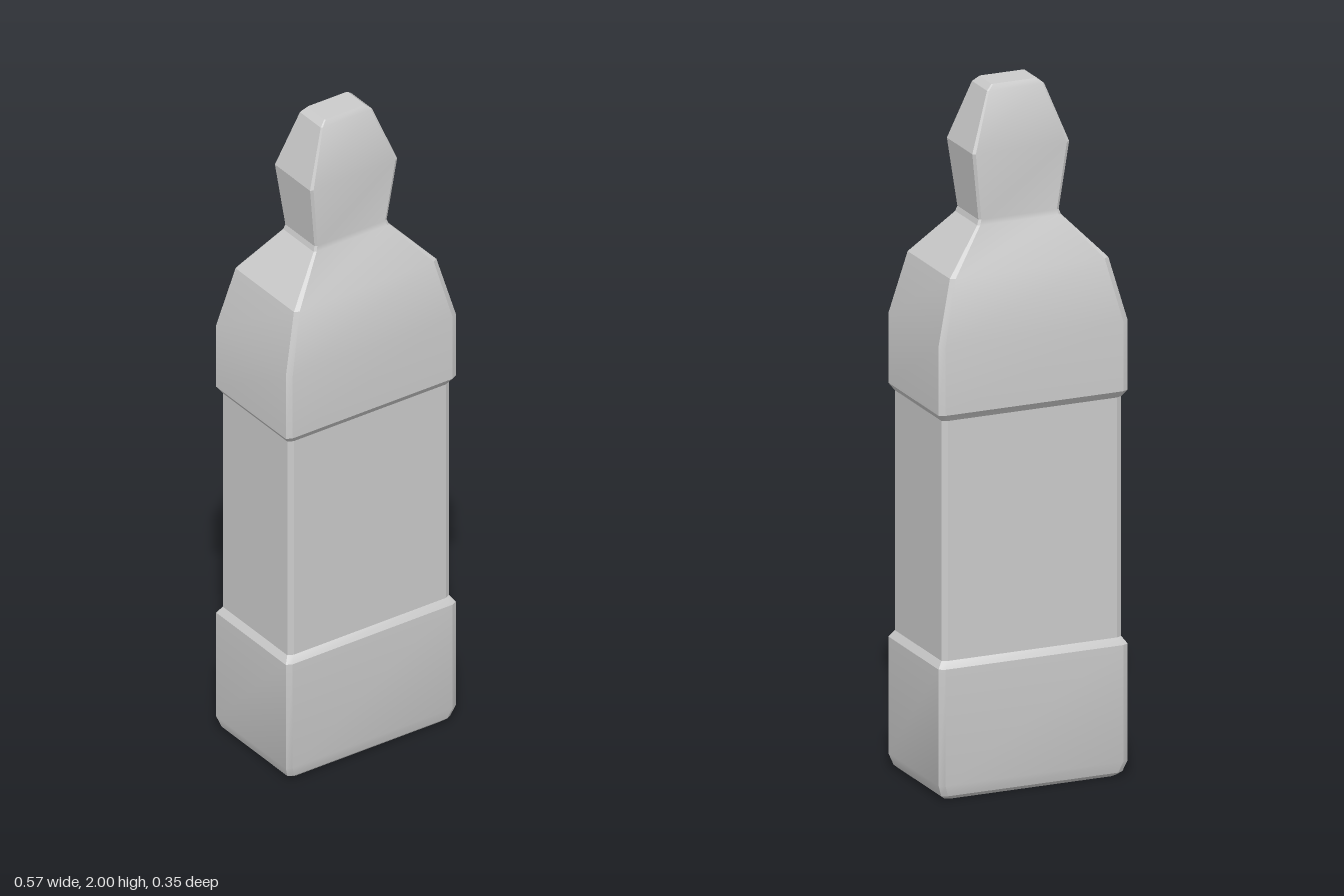
import * as THREE from 'three';
import { toCreasedNormals } from 'three/addons/utils/BufferGeometryUtils.js';

// Rectangle with narrow chamfered corners, at height y
function ring([y, hx, hz]) {
  const cx = hx * 0.06, cz = hz * 0.05;
  return [
    [hx, -hz + cz], [hx, hz - cz], [hx - cx, hz], [-hx + cx, hz],
    [-hx, hz - cz], [-hx, -hz + cz], [-hx + cx, -hz], [hx - cx, -hz],
  ].map(([x, z]) => [x, y, z]);
}

// Skin stacked rings and close both ends
function loft(sections) {
  const rings = sections.map(ring);
  const n = rings[0].length;
  const pos = [];
  const tri = (a, b, c) => pos.push(...a, ...b, ...c);
  for (let r = 0; r < rings.length - 1; r++) {
    for (let i = 0; i < n; i++) {
      const j = (i + 1) % n;
      const lo = rings[r], hi = rings[r + 1];
      tri(lo[i], hi[i], lo[j]);
      tri(lo[j], hi[i], hi[j]);
    }
  }
  const bottom = rings[0], top = rings[rings.length - 1];
  for (let i = 1; i < n - 1; i++) {
    tri(bottom[0], bottom[i], bottom[i + 1]);
    tri(top[0], top[i + 1], top[i]);
  }
  const geo = new THREE.BufferGeometry();
  geo.setAttribute('position', new THREE.Float32BufferAttribute(pos, 3));
  return toCreasedNormals(geo, 0.4);
}

export function createModel() {
  const group = new THREE.Group();
  group.name = 'bottle';
  const material = new THREE.MeshStandardMaterial({ color: 0xcccccc });

  // Height, half width, half depth
  const sections = [
    // rounded base
    [0, 0.258, 0.152], [0.012, 0.273, 0.165], [0.045, 0.285, 0.174], [0.38, 0.285, 0.174],
    // recessed label panel
    [0.4, 0.271, 0.161], [1.09, 0.271, 0.161],
    // shoulders
    [1.11, 0.285, 0.174], [1.31, 0.285, 0.174], [1.49, 0.239, 0.146],
    // neck and cap
    [1.61, 0.126, 0.076], [1.625, 0.121, 0.073], [1.82, 0.146, 0.088],
    [1.985, 0.086, 0.052], [2, 0.068, 0.042],
  ];
  const body = new THREE.Mesh(loft(sections), material);
  body.name = 'bottleBody';
  group.add(body);
  return group;
}
